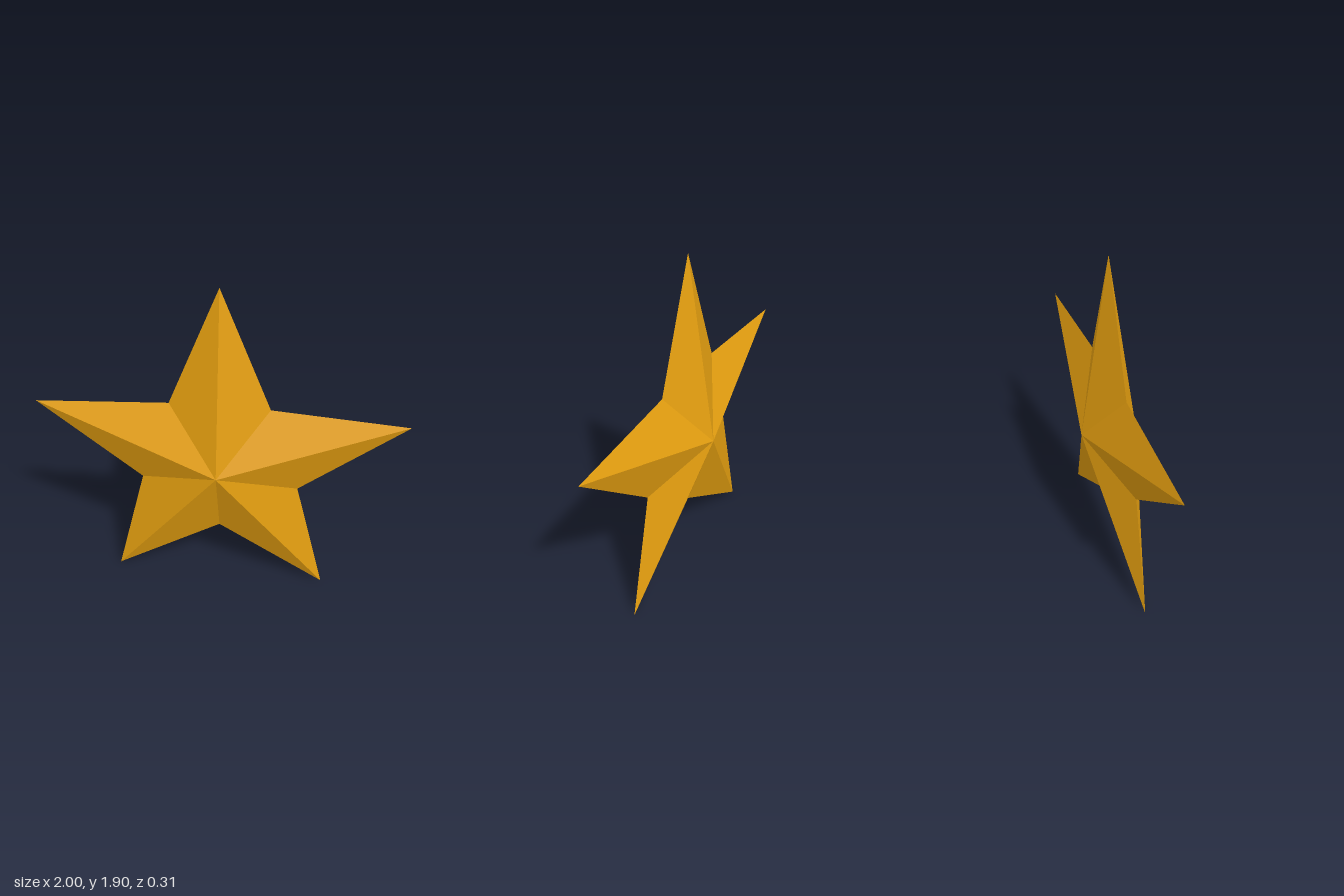
import * as THREE from 'three';

const POINTS = 5;
const OUTER = 1 / Math.sin((2 * Math.PI) / POINTS); // tips reach x = -1 and 1
const INNER = 0.46;
const DEPTH = 0.157;
const CENTRE_Y = OUTER * Math.cos(Math.PI / POINTS); // lower tips rest on y = 0

// Rim corner i, counter-clockwise from the top tip; odd corners are the notches
function rim(i) {
  const a = Math.PI / 2 + (i * Math.PI) / POINTS;
  const r = i % 2 ? INNER : OUTER;
  return [r * Math.cos(a), r * Math.sin(a), 0];
}

export function createModel() {
  // Facets fan from the rim to a raised apex on the front and on the back
  const positions = [];
  for (let i = 0; i < POINTS * 2; i++) {
    const a = rim(i);
    const b = rim(i + 1);
    positions.push(...a, ...b, 0, 0, DEPTH);
    positions.push(...b, ...a, 0, 0, -DEPTH);
  }
  const geometry = new THREE.BufferGeometry();
  geometry.setAttribute('position', new THREE.Float32BufferAttribute(positions, 3));
  geometry.computeVertexNormals();

  const gold = new THREE.MeshStandardMaterial({ color: 0xe6a010, flatShading: true });
  const star = new THREE.Mesh(geometry, gold);
  star.name = 'star';
  star.position.y = CENTRE_Y;

  const group = new THREE.Group();
  group.name = 'facetedStar';
  group.add(star);
  return group;
}
